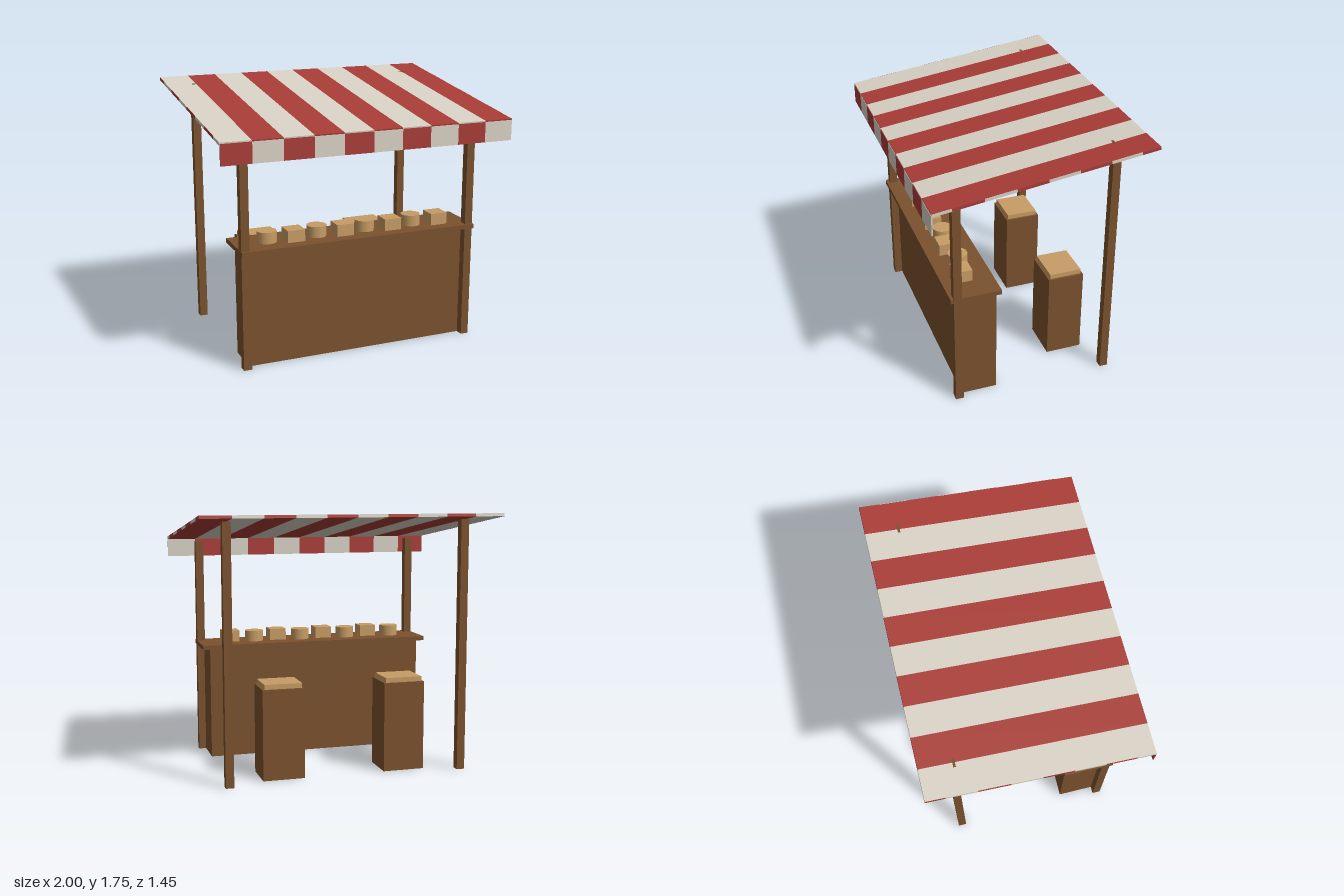
import * as THREE from 'three';

const mat = (name, color) => {
  const m = new THREE.MeshStandardMaterial({ color });
  m.name = name;
  return m;
};

export function createModel() {
  const wood = mat('brown wood', 0x7a512d);
  const tan = mat('tan', 0xc79c65);
  const red = mat('awning red', 0xa83c36);
  const cream = mat('awning cream', 0xd8d1c4);

  const model = new THREE.Group();
  model.name = 'marketStall';

  const add = (parent, name, geometry, material, x, y, z) => {
    const mesh = new THREE.Mesh(geometry, material);
    mesh.name = name;
    mesh.position.set(x, y, z);
    parent.add(mesh);
    return mesh;
  };
  // Box given by its centre in x and z, and its bottom and top in y
  const block = (parent, name, material, x, z, w, d, y0, y1) =>
    add(parent, name, new THREE.BoxGeometry(w, y1 - y0, d), material, x, (y0 + y1) / 2, z);
  const group = (name) => {
    const g = new THREE.Group();
    g.name = name;
    model.add(g);
    return g;
  };

  // Counter
  const counter = group('counter');
  block(counter, 'counterBody', wood, 0, 0.3725, 1.56, 0.245, 0, 0.78);
  block(counter, 'counterTop', wood, 0, 0.4, 1.664, 0.342, 0.78, 0.81);

  // Posts and stools, mirrored
  for (const s of [-1, 1]) {
    block(model, 'frontPost', wood, s * 0.8025, 0.5225, 0.055, 0.055, 0, 1.53);
    block(model, 'backPost', wood, s * 0.8025, -0.5225, 0.055, 0.055, 0, 1.7215);

    const stool = group('stool');
    block(stool, 'stoolBase', wood, s * 0.42, -0.3325, 0.285, 0.25, 0, 0.61);
    block(stool, 'stoolSeat', tan, s * 0.42, -0.3325, 0.255, 0.222, 0.61, 0.643);
  }

  // Goods on the counter: round and square in turn
  const goods = group('goods');
  for (let i = 0; i < 8; i++) {
    const x = -0.609 + i * 0.1733;
    if (i % 2) block(goods, 'squareGood', tan, x, 0.43, 0.12, 0.118, 0.81, 0.89);
    else add(goods, 'roundGood', new THREE.CylinderGeometry(0.066, 0.066, 0.075, 20), tan, x, 0.8475, 0.399);
  }

  // Sloping striped canopy
  const length = 1.455, thick = 0.02, tilt = 0.133;
  const canopy = group('canopy');
  canopy.position.y = 1.643;
  canopy.rotation.x = tilt;
  const valance = group('valance');
  for (let i = 0; i < 10; i++) {
    const x = -0.9 + i * 0.2;
    add(canopy, 'canopyStripe', new THREE.BoxGeometry(0.2, thick, length), i % 2 ? red : cream, x, 0, 0);
    block(valance, 'valanceStripe', i % 2 ? cream : red, x, 0.72, 0.2, 0.008, 1.413, 1.548);
  }

  // Alternating colours along the canopy's side edges
  const cuts = [0.7275, 0.604, 0.403, 0.2, 0, -0.2, -0.403, -0.604, -0.7275];
  for (const s of [-1, 1]) {
    for (let i = 0; i < 8; i++) {
      add(canopy, 'edgeStripe', new THREE.BoxGeometry(0.002, thick, cuts[i] - cuts[i + 1]),
        i % 2 ? red : cream, s * 1.001, 0, (cuts[i] + cuts[i + 1]) / 2);
    }
  }

  return model;
}
